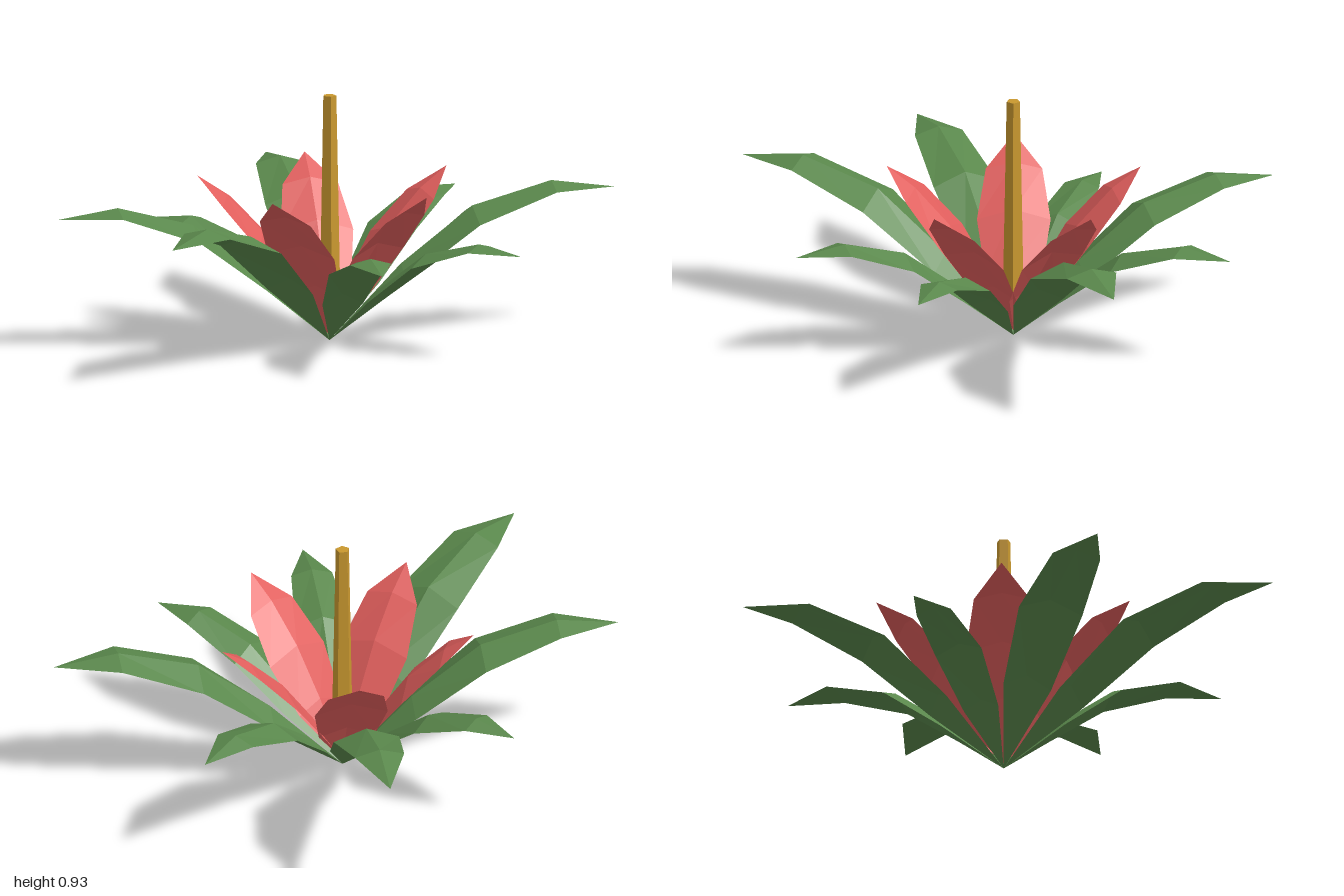
import * as THREE from 'three';

// Folded blade pointing along +z. Each section: [reach, ribHeight, edgeHeight, halfWidth]
function bladeGeometry(sections) {
  const rows = sections.map(([r, rib, edge, w]) => [[-w, edge, r], [0, rib, r], [w, edge, r]]);
  const pos = [];
  for (let i = 0; i < rows.length - 1; i++) {
    for (let j = 0; j < 2; j++) {
      const a = rows[i][j], b = rows[i][j + 1], c = rows[i + 1][j + 1], d = rows[i + 1][j];
      if (sections[i][3] > 0) pos.push(...a, ...d, ...b);
      if (sections[i + 1][3] > 0) pos.push(...b, ...d, ...c);
      else if (j === 1 && sections[i][3] === 0) pos.push(...a, ...b, ...c);
    }
  }
  const geo = new THREE.BufferGeometry();
  geo.setAttribute('position', new THREE.Float32BufferAttribute(pos, 3));
  geo.computeVertexNormals();
  return geo;
}

export function createModel() {
  const material = (name, color) => {
    const m = new THREE.MeshStandardMaterial({ color, flatShading: true, side: THREE.DoubleSide });
    m.name = name;
    return m;
  };
  const green = material('leafGreen', 0x5a884c);
  const red = material('petalRed', 0xe05e5c);
  const gold = material('stalkGold', 0xc9982f);

  const model = new THREE.Group();
  model.name = 'flower';
  const plant = new THREE.Group();
  plant.name = 'plant';
  plant.position.set(0.015, 0, -0.095);
  model.add(plant);

  const addBlade = (name, geo, mat, degrees, scale) => {
    const mesh = new THREE.Mesh(geo, mat);
    mesh.name = name;
    mesh.rotation.y = Math.PI / 2 - THREE.MathUtils.degToRad(degrees);
    mesh.scale.setScalar(scale);
    plant.add(mesh);
  };

  // Eight arching leaves of differing size
  const leafGeo = bladeGeometry([
    [0, 0, 0, 0],
    [0.25, 0.255, 0.21, 0.09],
    [0.5, 0.445, 0.4, 0.12],
    [0.777, 0.52, 0.495, 0.09],
    [1, 0.487, 0.487, 0],
  ]);
  [0.84, 0.86, 1.11, 1.04, 0.78, 1.03, 0.89, 1.09].forEach((size, i) =>
    addBlade('leaf' + (i + 1), leafGeo, green, -11.5 + i * 45, size));

  // Five upright petals
  const petalGeo = bladeGeometry([
    [0, 0.02, 0.02, 0],
    [0.122, 0.23, 0.195, 0.105],
    [0.247, 0.405, 0.365, 0.137],
    [0.385, 0.54, 0.515, 0.105],
    [0.496, 0.613, 0.613, 0],
  ]);
  for (let i = 0; i < 5; i++) addBlade('petal' + (i + 1), petalGeo, red, i * 72, 1);

  // Tapered five-sided central stalk
  const stalk = new THREE.Mesh(
    new THREE.CylinderGeometry(0.026, 0.042, 0.83, 5, 1, false, -Math.PI / 2), gold);
  stalk.name = 'stalk';
  stalk.position.y = 0.515;
  plant.add(stalk);

  return model;
}
